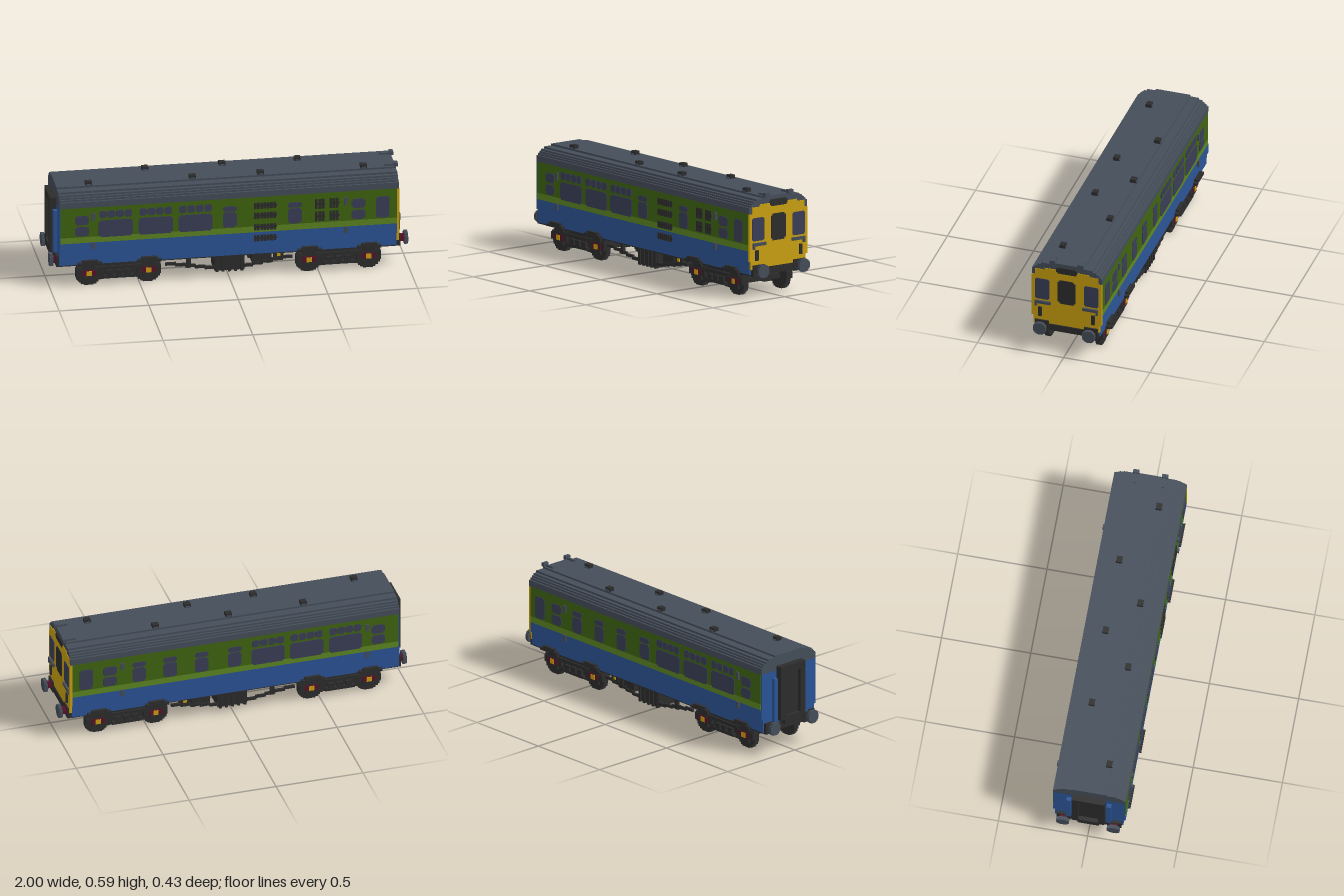
import * as THREE from 'three';

const mat = (name, color) => {
  const m = new THREE.MeshStandardMaterial({ color });
  m.name = name;
  return m;
};

export function createModel() {
  const root = new THREE.Group();
  root.name = 'railcar';
  const M = {
    yellow: mat('endYellow', 0xc9a010), green: mat('darkGreen', 0x3f6410),
    lime: mat('lightGreen', 0x5c8522), blue: mat('blue', 0x2b5496),
    grey: mat('roofGrey', 0x444d59), black: mat('underframeBlack', 0x2c2c2c),
    glass: mat('glass', 0x3a3e56), red: mat('bufferRed', 0x5c0f2a),
  };

  // box given by its minimum and maximum on each axis
  const box = (name, m, x0, x1, y0, y1, z0, z1, parent = root) => {
    const mesh = new THREE.Mesh(new THREE.BoxGeometry(x1 - x0, y1 - y0, z1 - z0), M[m]);
    mesh.position.set((x0 + x1) / 2, (y0 + y1) / 2, (z0 + z1) / 2);
    mesh.name = name;
    parent.add(mesh);
    return mesh;
  };
  // the same box on both sides of the centre line
  const pair = (name, m, x0, x1, y0, y1, z0, z1, parent = root) => {
    box(name, m, x0, x1, y0, y1, z0, z1, parent);
    box(name, m, x0, x1, y0, y1, -z1, -z0, parent);
  };
  // stepped section [z, y] mirrored in z and run along x
  const section = (name, m, half, x0, x1) => {
    const pts = [...half, ...half.map(([z, y]) => [-z, y]).reverse()];
    const shape = new THREE.Shape(pts.map(([z, y]) => new THREE.Vector2(z, y)));
    const geo = new THREE.ExtrudeGeometry(shape, { depth: x1 - x0, bevelEnabled: false });
    geo.rotateY(-Math.PI / 2);
    const mesh = new THREE.Mesh(geo, M[m]);
    mesh.position.x = x1;
    mesh.name = name;
    root.add(mesh);
  };
  // plate with notched corners, centred on the origin and facing +z
  const plate = (name, m, w, h, d = 0.006, n = 0.009) => {
    const a = w / 2, b = h / 2;
    const q = [[a, b - n], [a - n, b - n], [a - n, b]];
    const all = [...q, ...q.map(([x, y]) => [-x, y]).reverse(),
      ...q.map(([x, y]) => [-x, -y]), ...q.map(([x, y]) => [x, -y]).reverse()];
    const geo = new THREE.ExtrudeGeometry(
      new THREE.Shape(all.map((p) => new THREE.Vector2(...p))), { depth: d, bevelEnabled: false });
    const mesh = new THREE.Mesh(geo, M[m]);
    mesh.name = name;
    return mesh;
  };
  // blocky disc from crossing boxes; axis is 'x' or 'z'
  const disc = (name, m, x, y, z, r, t, axis) => {
    const g = new THREE.Group();
    g.name = name;
    [[1, 0.38], [0.92, 0.6], [0.77, 0.77], [0.6, 0.92], [0.38, 1]].forEach(([a, b]) =>
      box(name, m, -r * a, r * a, -r * b, r * b, -t / 2, t / 2, g));
    if (axis === 'x') g.rotation.y = Math.PI / 2;
    g.position.set(x, y, z);
    root.add(g);
  };

  // body shell in coloured bands
  box('lowerSkirt', 'blue', -0.95, 0.933, 0.136, 0.213, -0.191, 0.191);
  box('blueBand', 'blue', -0.95, 0.933, 0.213, 0.27, -0.203, 0.203);
  box('lightGreenBand', 'lime', -0.944, 0.933, 0.27, 0.305, -0.203, 0.203);
  box('darkGreenBand', 'green', -0.944, 0.933, 0.305, 0.48, -0.203, 0.203);
  box('rearEndPanel', 'blue', -0.95, -0.944, 0.27, 0.48, -0.2, 0.2);
  box('floor', 'black', -0.945, 0.925, 0.128, 0.136, -0.185, 0.185);

  // stepped roof
  section('roof', 'grey', [[0.203, 0.478], [0.203, 0.515], [0.192, 0.515], [0.192, 0.526],
    [0.182, 0.526], [0.182, 0.536], [0.17, 0.536], [0.17, 0.546], [0.15, 0.546], [0.15, 0.557],
    [0.1, 0.557], [0.1, 0.567]], -0.95, 0.943);
  for (const [i, x] of [-0.77, -0.43, -0.19, 0, 0.19, 0.42, 0.765].entries()) {
    const z = i % 2 ? -0.08 : 0.08;
    box('roofVent', 'black', x - 0.018, x + 0.018, 0.565, 0.587, z - 0.016, z + 0.016);
    box('roofVentBase', 'grey', x - 0.012, x + 0.012, 0.56, 0.575, z - 0.022, z + 0.022);
  }
  pair('horn', 'grey', 0.88, 0.945, 0.565, 0.578, 0.072, 0.086);
  pair('hornMouth', 'grey', 0.935, 0.955, 0.565, 0.587, 0.064, 0.098);

  // side windows
  const put = (mesh, x, y, s) => {
    mesh.position.set(x, y, s * 0.201);
    if (s < 0) mesh.rotation.y = Math.PI;
    root.add(mesh);
  };
  const sidePlate = (name, m, x, y, w, h, s, n) => put(plate(name, m, w, h, 0.006, n), x, y, s);
  for (const s of [1, -1]) {
    for (const x of [-0.637, -0.414, -0.192]) {
      sidePlate('saloonWindow', 'glass', x, 0.35, 0.19, 0.1, s);
      for (let i = 0; i < 4; i++)
        sidePlate('toplight', 'glass', x + (i - 1.5) * 0.047, 0.435, 0.042, 0.044, s, 0.007);
    }
    for (const x of [-0.826, 0.717]) {
      sidePlate('doorWindowLower', 'glass', x, 0.34, 0.078, 0.056, s);
      sidePlate('doorWindowUpper', 'glass', x, 0.406, 0.078, 0.054, s);
    }
    for (const x of s > 0 ? [0, 0.363] : [0, 0.19, 0.37, 0.55]) {
      sidePlate('smallWindow', 'glass', x, 0.355, 0.076, 0.09, s);
      sidePlate('smallWindowVent', 'glass', x, 0.42, 0.076, 0.03, s, 0.006);
    }
    sidePlate('cabSideWindow', 'glass', 0.853, 0.375, 0.076, 0.126, s);
  }

  // louvres on the left side
  const louvre = (x0, x1, y0, y1, bars) => {
    const step = (x1 - x0) / bars;
    for (let i = 0; i < bars; i++)
      box('louvreSlat', 'black', x0 + i * step, x0 + (i + 0.75) * step, y0, y1, 0.2, 0.208);
    box('louvreRail', 'black', x0, x1, (y0 + y1) / 2 - 0.006, (y0 + y1) / 2 + 0.006, 0.2, 0.207);
  };
  for (const y of [0.235, 0.3, 0.369, 0.428]) louvre(0.134, 0.262, y - 0.018, y + 0.018, 7);
  for (const x of [0.476, 0.556])
    for (const y of [0.343, 0.417]) louvre(x, x + 0.055, y - 0.029, y + 0.029, 3);

  // side lamps and brackets beside the doors
  for (const x of [-0.762, 0.647]) {
    pair('sideLamp', 'grey', x - 0.01, x + 0.01, 0.405, 0.447, 0.2, 0.213);
    pair('sideBracket', 'grey', x - 0.01, x + 0.01, 0.235, 0.273, 0.2, 0.213);
  }

  // yellow cab end
  section('cabEnd', 'yellow', [[0.191, 0.165], [0.191, 0.213], [0.203, 0.213], [0.203, 0.478],
    [0.183, 0.478], [0.183, 0.515], [0.13, 0.515], [0.13, 0.527]], 0.932, 0.946);
  const endPlate = (name, m, z, y, w, h, n) => {
    const p = plate(name, m, w, h, 0.007, n);
    p.rotation.y = Math.PI / 2;
    p.position.set(0.943, y, z);
    root.add(p);
  };
  for (const z of [-0.142, 0.142]) endPlate('cabWindow', 'glass', z, 0.39, 0.083, 0.13, 0.006);
  endPlate('cabDoor', 'black', 0, 0.39, 0.102, 0.15, 0.011);
  endPlate('destinationPanel', 'black', 0, 0.527, 0.12, 0.037, 0.007);
  pair('cabHandrail', 'grey', 0.94, 0.957, 0.297, 0.314, 0.092, 0.182);
  pair('cabHandrailEnd', 'grey', 0.94, 0.957, 0.28, 0.3, 0.17, 0.182);
  pair('headlamp', 'black', 0.94, 0.955, 0.215, 0.273, 0.144, 0.163);

  // corridor connection at the rear
  pair('gangwayPost', 'black', -0.988, -0.945, 0.19, 0.505, 0.055, 0.092);
  box('gangwayTop', 'black', -0.988, -0.945, 0.465, 0.505, -0.06, 0.06);
  box('gangwaySill', 'black', -0.988, -0.945, 0.165, 0.21, -0.06, 0.06);
  box('gangwayDoor', 'black', -0.965, -0.945, 0.2, 0.47, -0.06, 0.06);
  pair('gangwayPillar', 'blue', -0.972, -0.945, 0.19, 0.44, 0.1, 0.125);

  // buffer beams and buffers
  for (const s of [-1, 1]) {
    const e = s > 0 ? 0.94 : -0.95;
    box('bufferBeam', 'black', e - 0.012, e + 0.012, 0.133, 0.172, -0.182, 0.182);
    for (const z of [-0.142, 0.142]) {
      box('bufferBase', 'black', e - 0.015, e + 0.015, 0.127, 0.19, z - 0.04, z + 0.04);
      disc('bufferStem', 'red', s * 0.962, 0.16, z, 0.02, 0.04, 'x');
      disc('bufferHead', 'grey', s * 0.99, 0.16, z, 0.036, 0.02, 'x');
    }
  }

  // bogies
  for (const c of [-0.615, 0.612]) {
    pair('bogieFrame', 'black', c - 0.23, c + 0.23, 0.09, 0.11, 0.163, 0.175);
    box('bogieBolster', 'black', c - 0.06, c + 0.06, 0.06, 0.13, -0.165, 0.165);
    pair('springPlank', 'black', c - 0.085, c + 0.085, 0.04, 0.056, 0.15, 0.182);
    for (const dx of [-0.05, 0, 0.05])
      pair('bogieSpring', 'black', c + dx - 0.018, c + dx + 0.018, 0.05, 0.085, 0.163, 0.18);
    for (const d of [-0.166, 0.166]) {
      const x = c + d;
      box('axle', 'black', x - 0.014, x + 0.014, 0.058, 0.086, -0.15, 0.15);
      box('brakeBeam', 'black', c + d * 0.5 - 0.01, c + d * 0.5 + 0.01, 0.06, 0.11, -0.15, 0.15);
      pair('brakeBlock', 'black', c + d * 0.5 - 0.02, c + d * 0.5 + 0.02, 0.03, 0.12, 0.083, 0.16);
      for (const z of [-0.148, 0.148]) disc('wheel', 'black', x, 0.072, z, 0.071, 0.03, 'z');
      pair('axleboxArm', 'black', x - 0.068, x + 0.068, 0.06, 0.1, 0.16, 0.178);
      pair('axleboxHanger', 'black', x - 0.035, x + 0.035, 0.036, 0.125, 0.16, 0.177);
      pair('axleboxSide', 'red', x - 0.037, x + 0.037, 0.062, 0.094, 0.17, 0.182);
      pair('axleboxCover', 'yellow', x - 0.015, x + 0.015, 0.062, 0.09, 0.172, 0.185);
      // step boards above the axles
      pair('stepBoard', 'black', x - 0.067, x + 0.067, 0.135, 0.15, 0.185, 0.212);
      pair('stepBoardTop', 'black', x - 0.045, x + 0.045, 0.148, 0.163, 0.185, 0.21);
    }
  }

  // underfloor equipment and truss
  box('engine', 'black', -0.08, 0.088, 0.04, 0.135, -0.16, -0.03);
  pair('fuelTank', 'black', -0.08, 0.088, 0.04, 0.135, 0.05, 0.17);
  for (let i = 0; i < 5; i++)
    pair('tankRib', 'black', -0.075 + i * 0.035, -0.06 + i * 0.035, 0.035, 0.125, 0.16, 0.178);
  box('gearbox', 'black', 0.12, 0.24, 0.065, 0.135, -0.08, 0.08);
  box('exhaust', 'black', -0.3, 0.12, 0.085, 0.11, -0.03, 0.0);
  pair('batteryBox', 'black', 0.13, 0.24, 0.07, 0.135, 0.1, 0.165);
  for (const s of [-1, 1]) {
    pair('trussPost', 'black', s * 0.225 - 0.012, s * 0.225 + 0.012, 0.07, 0.135, 0.16, 0.175);
    // tie bar falling in steps towards the middle
    for (let i = 0; i < 5; i++) {
      const x = s * (0.325 - i * 0.055), y = 0.098 - i * 0.009;
      pair('trussBar', 'black', x - 0.03, x + 0.03, y - 0.008, y + 0.008, 0.162, 0.174);
    }
  }
  pair('fillerCap', 'black', 0.25, 0.305, 0.09, 0.135, 0.14, 0.172);
  pair('fillerMark', 'yellow', 0.267, 0.287, 0.106, 0.125, 0.165, 0.176);

  return root;
}
